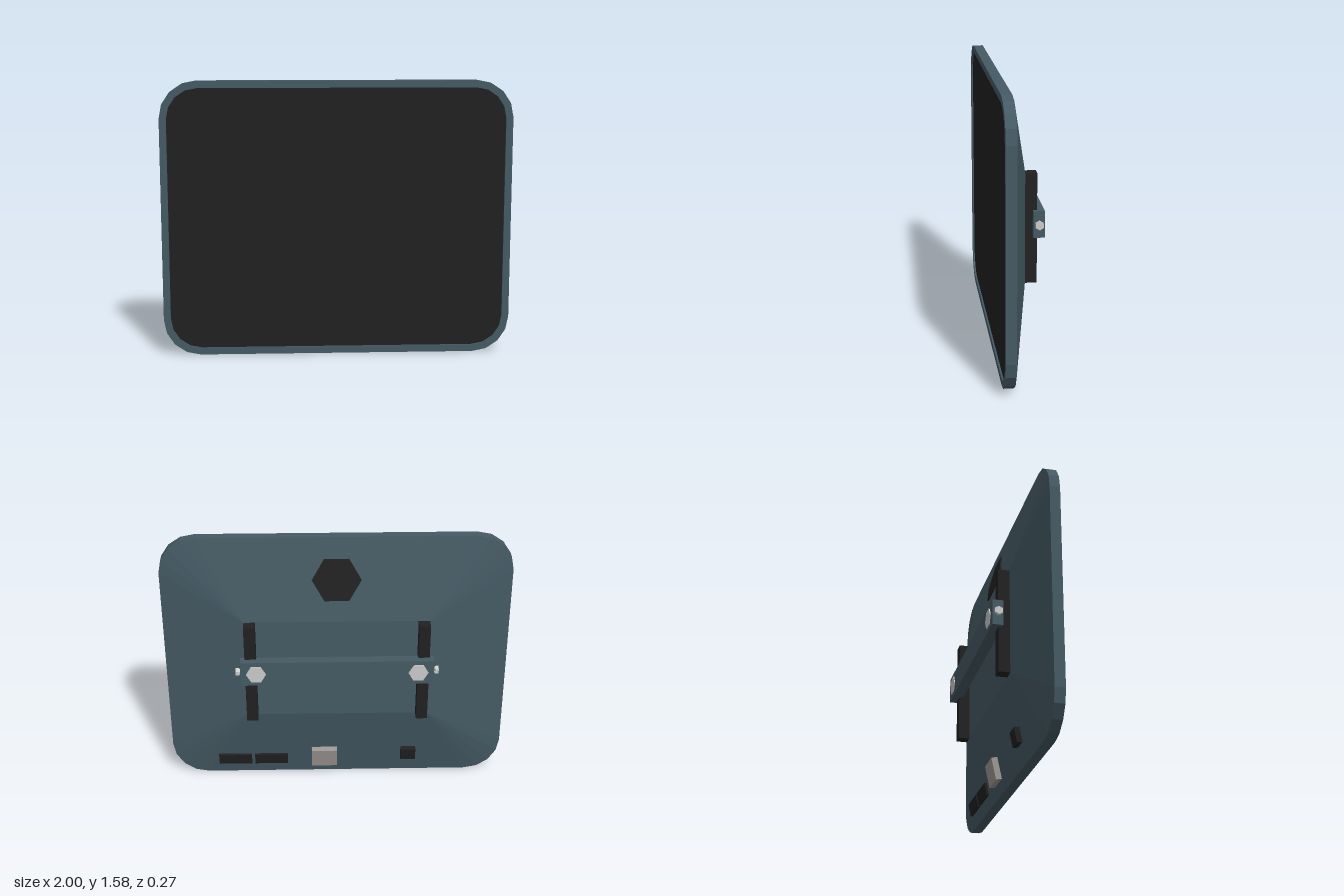
import * as THREE from 'three';

const H = 1.58, MID = H / 2;
const Z_FRONT = 0.134, Z_EDGE = 0.076, Z_BACK = -0.024;
const PLATE = { x: 0.53, y0: 0.48, y1: 1.1 };
const SLOPE = (Z_EDGE - Z_BACK) / PLATE.y0;
const TILT = Math.atan(SLOPE);

const paint = (color) => new THREE.MeshStandardMaterial({ color, flatShading: true });
const MAT = {
  shell: paint(0x455a64),
  black: paint(0x212121),
  bolt: paint(0xbdbdbd),
  socket: paint(0x9e9894),
};

// Rounded rectangle outline, counterclockwise from the front, four facets per corner
function outline(halfW, halfH, r) {
  const pts = [];
  const corners = [[1, 1], [-1, 1], [-1, -1], [1, -1]];
  corners.forEach(([sx, sy], c) => {
    for (let i = 0; i <= 4; i++) {
      const a = (c + i / 4) * Math.PI / 2;
      pts.push(new THREE.Vector2(
        sx * (halfW - r) + r * Math.cos(a),
        MID + sy * (halfH - r) + r * Math.sin(a)));
    }
  });
  return pts;
}

// Joins rings of equal length into a strip and closes the last one
function loft(rings) {
  const pos = [];
  const tri = (a, b, c) => {
    if (a.equals(b) || b.equals(c) || a.equals(c)) return;
    [a, b, c].forEach((p) => pos.push(p.x, p.y, p.z));
  };
  const n = rings[0].length;
  for (let r = 0; r < rings.length - 1; r++) {
    for (let j = 0; j < n; j++) {
      const k = (j + 1) % n, a = rings[r], b = rings[r + 1];
      tri(a[j], b[j], a[k]);
      tri(b[j], b[k], a[k]);
    }
  }
  const end = rings[rings.length - 1];
  for (let j = 1; j < n - 1; j++) tri(end[0], end[j + 1], end[j]);
  const g = new THREE.BufferGeometry();
  g.setAttribute('position', new THREE.Float32BufferAttribute(pos, 3));
  g.computeVertexNormals();
  return g;
}

// Hexagonal prism along z with points left and right
function hexPrism(r, depth) {
  return new THREE.CylinderGeometry(r, r, depth, 6).rotateY(Math.PI / 2).rotateX(Math.PI / 2);
}

export function createModel() {
  const model = new THREE.Group();
  const add = (name, geo, mat, x = 0, y = 0, z = 0) => {
    const m = new THREE.Mesh(geo, mat);
    m.name = name;
    m.position.set(x, y, z);
    model.add(m);
    return m;
  };

  // Shell: recessed rim, side band and back tapering to a flat plate
  const outer = outline(1, MID, 0.21);
  const inner = outline(0.96, MID - 0.04, 0.175);
  const at = (pts, z) => pts.map((p) => new THREE.Vector3(p.x, p.y, z));
  const plate = outer.map((p) => new THREE.Vector3(
    Math.sign(p.x) * PLATE.x, p.y > MID ? PLATE.y1 : PLATE.y0, Z_BACK));
  add('shell', loft([
    at(inner, Z_FRONT - 0.01), at(inner, Z_FRONT),
    at(outer, Z_FRONT), at(outer, Z_EDGE), plate,
  ]), MAT.shell);

  // Screen
  add('screen', new THREE.ShapeGeometry(new THREE.Shape(inner)), MAT.black, 0, 0, Z_FRONT - 0.01);

  // Mounting rails, bolts and crossbar
  const barY = 0.82, barZ = -0.097;
  add('crossbar', new THREE.BoxGeometry(1.11, 0.15, 0.063), MAT.shell, 0, barY, barZ);
  for (const s of [-1, 1]) {
    add('mountingRail', new THREE.BoxGeometry(0.065, 0.62, 0.075), MAT.black, s * 0.4975, MID, -0.0515);
    add('crossbarBolt', hexPrism(0.057, 0.02), MAT.bolt, s * 0.465, barY, -0.124);
    const sideHex = (r, len) => new THREE.CylinderGeometry(r, r, len, 6)
      .rotateY(Math.PI / 2).rotateZ(Math.PI / 2);
    add('sideBoltShank', sideHex(0.018, 0.03), MAT.bolt, s * 0.56, barY, barZ);
    add('sideBoltHead', sideHex(0.025, 0.02), MAT.bolt, s * 0.572, barY, barZ);
  }

  // Parts lying on the sloped back, sunk slightly into it
  const SINK = 0.01;
  const onSlope = (name, geo, mat, x, y, rise, depth) => {
    const top = y > MID;
    const z = Z_EDGE - SLOPE * (top ? H - y : y);
    const tilt = top ? TILT : -TILT;
    const m = add(name, geo, mat, x, y, z);
    m.rotation.x = tilt;
    m.translateZ(depth / 2 - rise);
  };
  const port = (name, mat, x, y, w, h, rise) =>
    onSlope(name, new THREE.BoxGeometry(w, h, rise + SINK), mat, x, y, rise, rise + SINK);

  onSlope('hexagonPanel', hexPrism(0.14, 0.018), MAT.black, 0, 1.34, 0.008, 0.018);
  port('widePort', MAT.black, 0.62, 0.112, 0.2, 0.075, 0.014);
  port('widePort', MAT.black, 0.4, 0.112, 0.2, 0.075, 0.014);
  port('squareSocket', MAT.socket, 0.075, 0.135, 0.155, 0.13, 0.035);
  port('smallPort', MAT.black, -0.435, 0.155, 0.09, 0.085, 0.03);

  return model;
}
